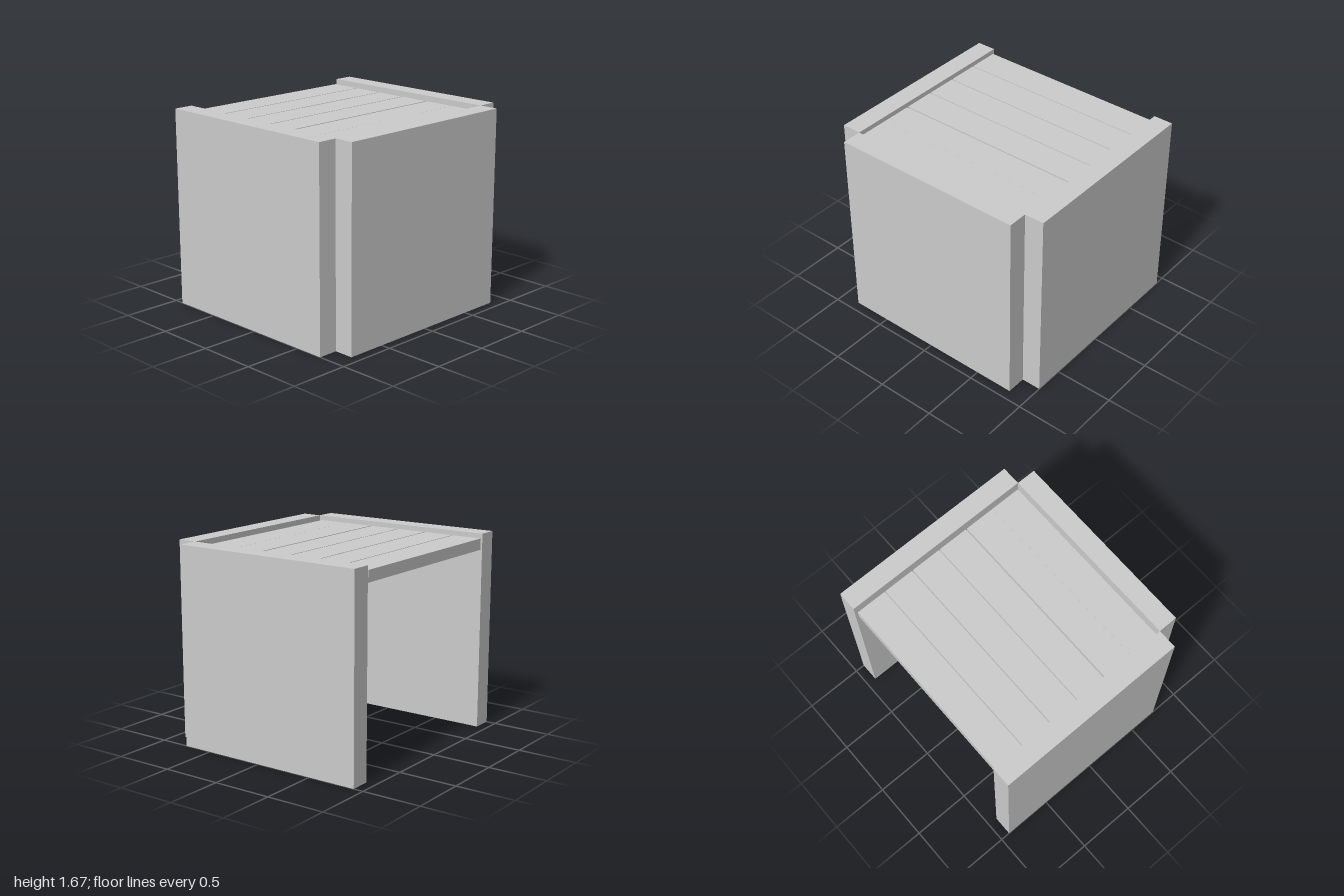
import * as THREE from 'three';

const material = new THREE.MeshStandardMaterial({ color: 0xcccccc, flatShading: true });

// Box given by its lower and upper limits along each axis
function board(name, [x0, x1], [y0, y1], [z0, z1]) {
  const mesh = new THREE.Mesh(new THREE.BoxGeometry(x1 - x0, y1 - y0, z1 - z0), material);
  mesh.position.set((x0 + x1) / 2, (y0 + y1) / 2, (z0 + z1) / 2);
  mesh.name = name;
  return mesh;
}

export function createModel() {
  const model = new THREE.Group();
  model.name = 'slattedBench';
  const height = 1.667, inner = 0.833, front = 0.75, depth = 0.917;

  // Upright panels: two sides and the front, open at the back
  model.add(board('leftPanel', [inner, 1], [0, height], [-depth, front]));
  model.add(board('rightPanel', [-1, -inner], [0, height], [-depth, front]));
  model.add(board('frontPanel', [-inner, inner], [0, height], [front, depth]));

  // Seat slats, set slightly below the panel tops; the front two touch
  const slats = new THREE.Group();
  slats.name = 'seatSlats';
  const slatTop = 1.626, slatThickness = 0.095, slatWidth = 0.264;
  [-0.902, -0.629, -0.355, -0.082, 0.196, 0.461].forEach((z, i) => {
    slats.add(board(`slat${i + 1}`, [-inner, 0.806], [slatTop - slatThickness, slatTop], [z, z + slatWidth]));
  });
  model.add(slats);

  return model;
}
